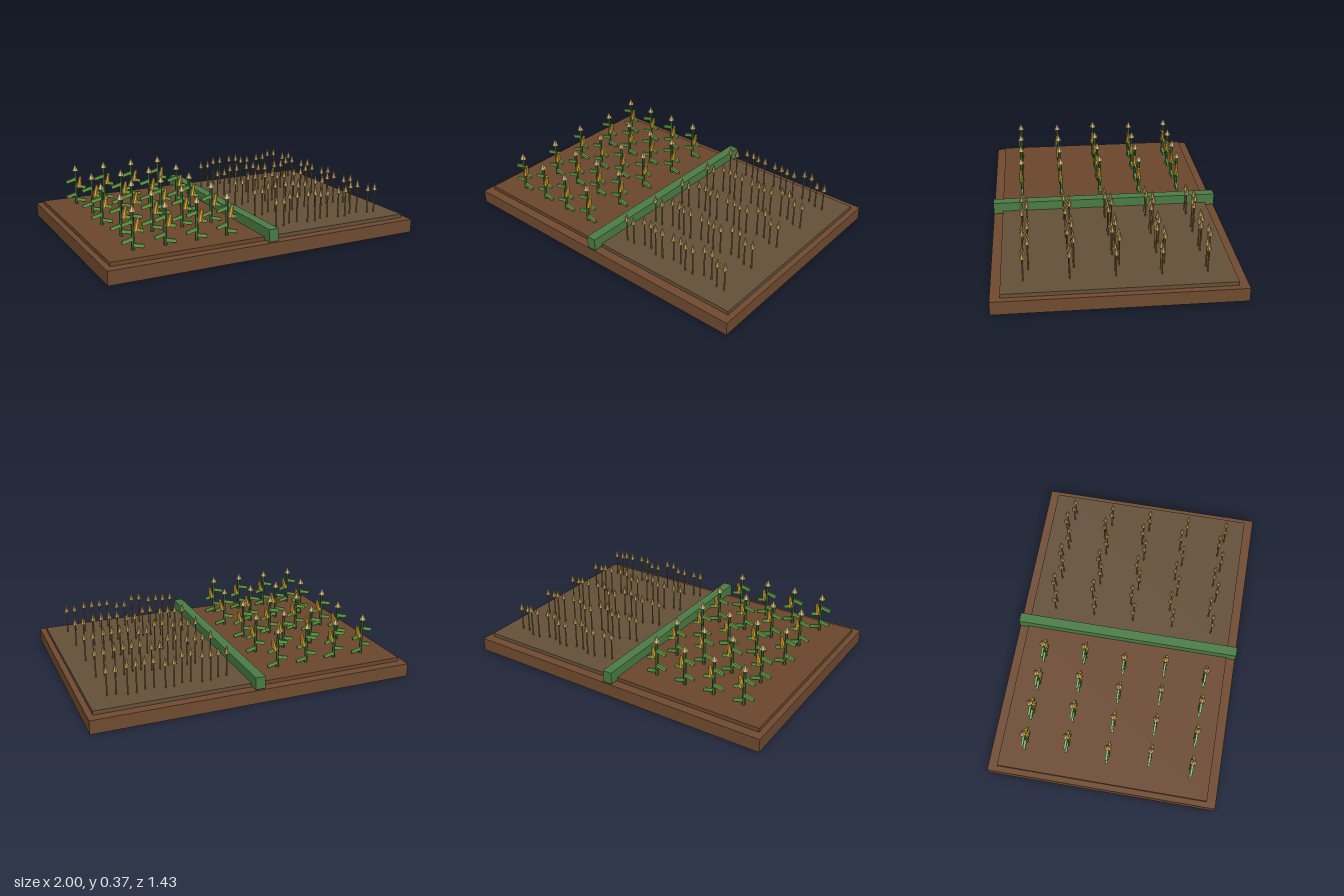
import * as THREE from 'three';

const mat = (color) => new THREE.MeshStandardMaterial({ color, flatShading: true });
const M = {
  earth: mat(0x6f4a2f), tilled: mat(0x6b472d), dry: mat(0x65503a), hedge: mat(0x4a7c45),
  stalk: mat(0x3f6b38), leaf: mat(0x62a044), cob: mat(0xd9a028), tassel: mat(0xc9ab66),
  straw: mat(0x8a6f3c), grain: mat(0xb8954f),
};

function add(parent, name, geometry, material, x, y, z, tilt = 0) {
  const mesh = new THREE.Mesh(geometry, material);
  mesh.name = name;
  mesh.position.set(x, y, z);
  mesh.rotation.z = tilt;
  parent.add(mesh);
  return mesh;
}

const SOIL = 0.107;
const G = {
  stalk: new THREE.CylinderGeometry(0.008, 0.01, 0.225, 6),
  leaf: new THREE.BoxGeometry(0.065, 0.02, 0.014),
  cob: new THREE.CylinderGeometry(0.009, 0.017, 0.075, 7),
  tassel: new THREE.ConeGeometry(0.021, 0.045, 6),
  grain: new THREE.ConeGeometry(0.016, 0.055, 6),
};

// Maize plant: stalk, alternating leaves, one ear and a tassel
function maize() {
  const plant = new THREE.Group();
  plant.name = 'maizePlant';
  add(plant, 'stalk', G.stalk, M.stalk, 0, 0.1125, 0);
  [0.025, 0.06, 0.11, 0.155].forEach((y, i) => {
    const side = i % 2 ? -1 : 1;
    const height = [0.022, 0.058, 0.112, 0.158][i];
    add(plant, 'leaf', G.leaf, M.leaf, side * 0.032, height, 0, side < 0 ? 0.25 : -0.25);
  });
  add(plant, 'ear', G.cob, M.cob, 0.025, 0.143, 0.004, -0.2);
  add(plant, 'tassel', G.tassel, M.tassel, 0, 0.242, 0);
  return plant;
}

// Wheat stem with a pointed head
function wheat(height) {
  const plant = new THREE.Group();
  plant.name = 'wheatPlant';
  const stem = height - 0.05;
  add(plant, 'stem', new THREE.CylinderGeometry(0.004, 0.005, stem, 5), M.straw, 0, stem / 2, 0);
  add(plant, 'head', G.grain, M.grain, 0, height - 0.0275, 0);
  return plant;
}

export function createModel() {
  const model = new THREE.Group();
  model.name = 'cropField';

  // Ground slab, two soil beds and the dividing hedge
  add(model, 'ground', new THREE.BoxGeometry(2, 0.083, 1.426), M.earth, 0, 0.0415, 0);
  const bed = new THREE.BoxGeometry(0.965, SOIL - 0.08, 1.312);
  add(model, 'maizeBed', bed, M.tilled, -0.4825, (SOIL + 0.08) / 2, 0);
  add(model, 'wheatBed', bed, M.dry, 0.4825, (SOIL + 0.08) / 2, 0);
  add(model, 'hedge', new THREE.BoxGeometry(0.06, 0.075, 1.426), M.hedge, 0, 0.1275, 0);

  for (let row = 0; row < 5; row++) {
    const z = -0.502 + row * 0.258;

    // Maize, with every other row staggered
    for (let col = 0; col < 4; col++) {
      const plant = maize();
      plant.position.set(-0.787 + col * 0.193 + (row % 2) * 0.026, SOIL, z);
      model.add(plant);
    }

    // Wheat in pairs, every other pair set back, heights cycling in threes
    for (let pair = 0; pair < 7; pair++) {
      for (let k = 0; k < 2; k++) {
        const plant = wheat([0.195, 0.21, 0.221][pair % 3]);
        plant.position.set(0.123 + pair * 0.1115 + k * 0.0525, SOIL, z - (pair % 2) * 0.03);
        model.add(plant);
      }
    }
  }
  return model;
}
